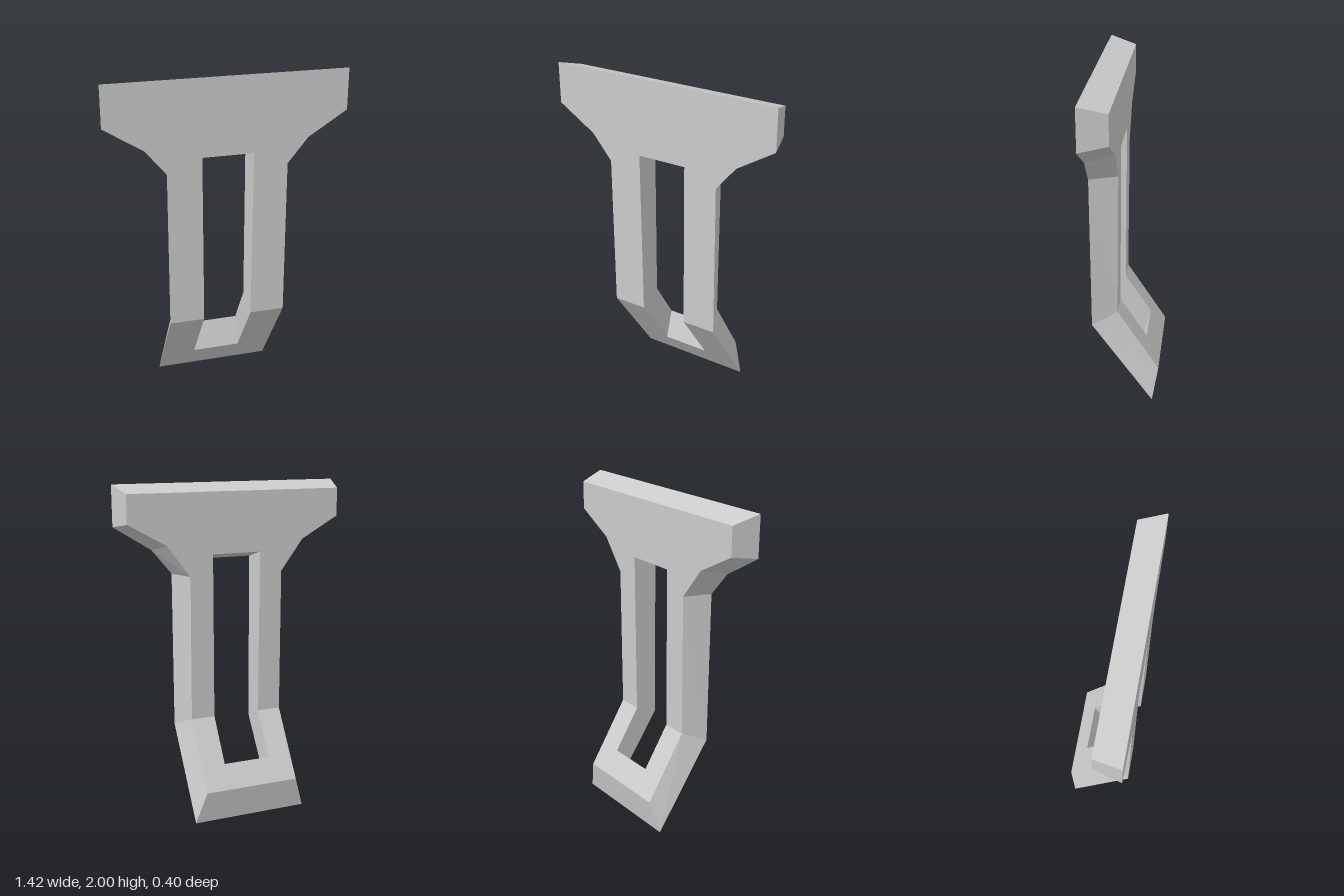
import * as THREE from 'three';

// Corner points of the +x half: [front x, y, z, back x, y, z]
const HALF = [
  [0.71, 2.0, 0.2, 0.67, 1.955, 0.04],       // 0 head top
  [0.71, 1.757, 0.2, 0.67, 1.785, 0.04],     // 1 head lower corner
  [0.48, 1.613, 0.2, 0.435, 1.653, 0.04],    // 2 shoulder
  [0.357, 1.465, 0.2, 0.295, 1.465, 0.04],   // 3 top of leg
  [0.357, 0.52, 0.197, 0.295, 0.585, 0.05],  // 4 bend
  [0.357, 0.0, -0.167, 0.295, 0.195, -0.2],  // 5 foot
  [0.152, 1.545, 0.2, 0.152, 1.59, 0.04],    // 6 slot top
  [0.147, 0.52, 0.197, 0.147, 0.585, 0.05],  // 7 slot at bend
  [0.147, 0.153, -0.06, 0.147, 0.33, -0.114] // 8 slot bottom
];
const N = HALF.length;

// Close a half path with its mirror image
const mirrored = (path) => [...path, ...path.map((i) => i + N).reverse()];

function createFrameGeometry() {
  const points = [...HALF, ...HALF.map(([a, b, c, d, e, f]) => [-a, b, c, -d, e, f])];
  const front = points.map((p) => new THREE.Vector3(p[0], p[1], p[2]));
  const back = points.map((p) => new THREE.Vector3(p[3], p[4], p[5]));
  const out = [];
  const tri = (a, b, c) => out.push(...a.toArray(), ...b.toArray(), ...c.toArray());

  // Front and back skins, triangulated in the xy plane
  const panel = (loop, side, facing) => {
    const flat = loop.map((i) => new THREE.Vector2(side[i].x, side[i].y));
    for (const face of THREE.ShapeUtils.triangulateShape(flat, [])) {
      const [a, b, c] = face.map((k) => side[loop[k]]);
      const turn = (b.x - a.x) * (c.y - a.y) - (b.y - a.y) * (c.x - a.x);
      if (turn * facing > 0) tri(a, b, c);
      else tri(a, c, b);
    }
  };
  const upper = mirrored([0, 1, 2, 3, 4, 7, 6]);
  const lower = mirrored([7, 4, 5]).concat([8 + N, 8]);
  // The lower loop runs 7, 4, 5, mirrored 5, 4, 7, then the slot bottom
  for (const loop of [upper, lower]) {
    panel(loop, front, 1);
    panel(loop, back, -1);
  }

  // Walls joining front to back, around the outside and inside the slot
  for (const loop of [mirrored([0, 1, 2, 3, 4, 5]), mirrored([8, 7, 6])]) {
    loop.forEach((a, k) => {
      const b = loop[(k + 1) % loop.length];
      tri(front[a], front[b], back[b]);
      tri(front[a], back[b], back[a]);
    });
  }

  const geometry = new THREE.BufferGeometry();
  geometry.setAttribute('position', new THREE.Float32BufferAttribute(out, 3));
  geometry.computeVertexNormals();
  return geometry;
}

export function createModel() {
  const group = new THREE.Group();
  group.name = 'slottedBracket';
  const material = new THREE.MeshStandardMaterial({ color: 0xcccccc, flatShading: true });
  const frame = new THREE.Mesh(createFrameGeometry(), material);
  frame.name = 'bentSlottedFrame';
  group.add(frame);
  return group;
}
